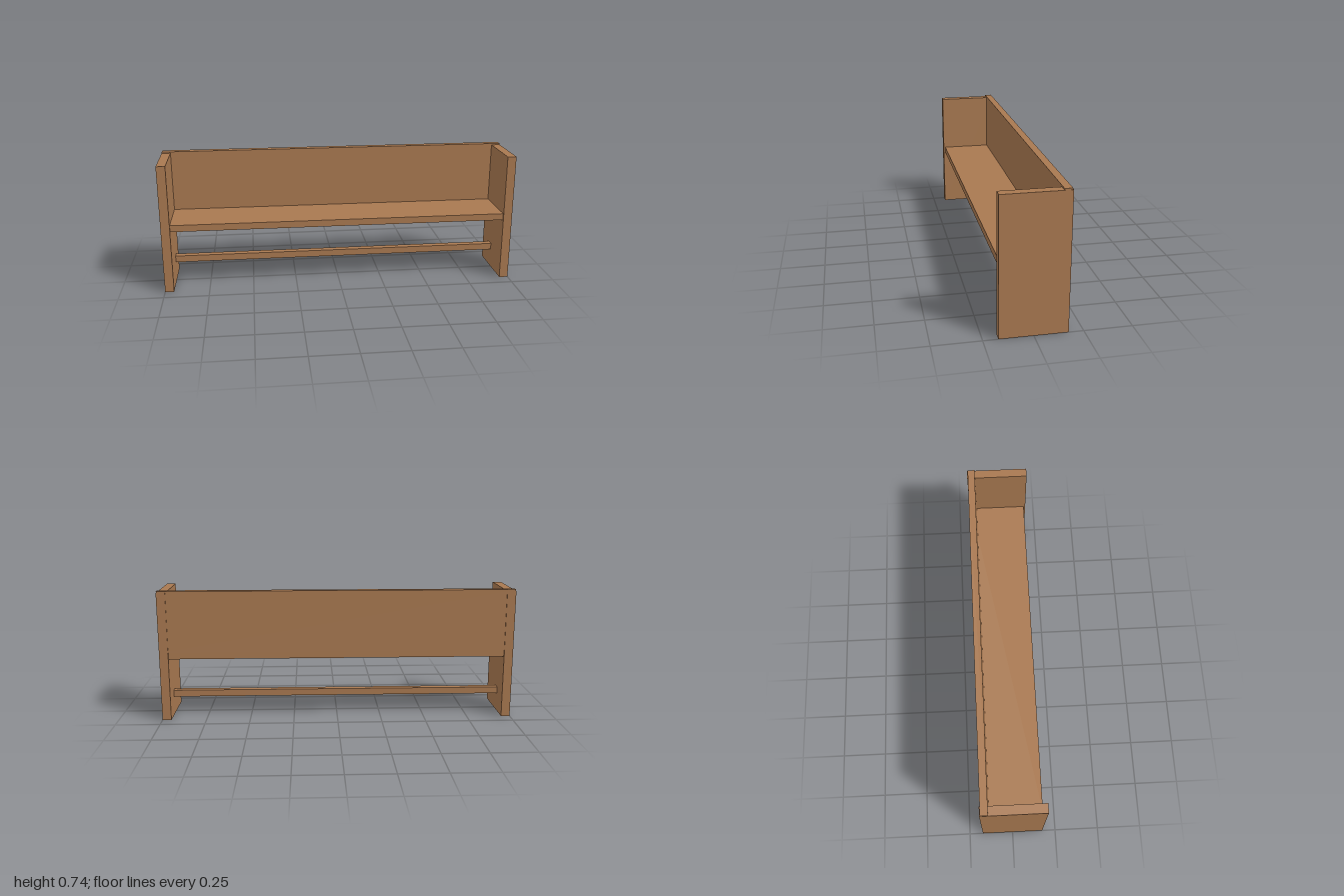
import * as THREE from 'three';

export function createModel() {
  const model = new THREE.Group();
  const wood = new THREE.MeshStandardMaterial({ color: 0xa87850 });
  wood.name = 'wood';

  // Adds a board spanning the given [min, max] ranges
  const board = (name, [x0, x1], [y0, y1], [z0, z1]) => {
    const mesh = new THREE.Mesh(new THREE.BoxGeometry(x1 - x0, y1 - y0, z1 - z0), wood);
    mesh.position.set((x0 + x1) / 2, (y0 + y1) / 2, (z0 + z1) / 2);
    mesh.name = name;
    model.add(mesh);
  };

  // Upright end panels
  board('leftPanel', [0.95, 1], [0, 0.733], [-0.174, 0.174]);
  board('rightPanel', [-1, -0.95], [0, 0.733], [-0.174, 0.174]);

  // Back board, standing slightly proud of the end panels at the top
  board('backBoard', [-0.999, 0.999], [0.393, 0.741], [-0.17, -0.13]);

  // Shelf and the stretcher rail below it
  board('shelf', [-0.95, 0.95], [0.355, 0.393], [-0.164, 0.164]);
  board('stretcher', [-0.95, 0.95], [0.104, 0.142], [-0.057, -0.017]);

  return model;
}
